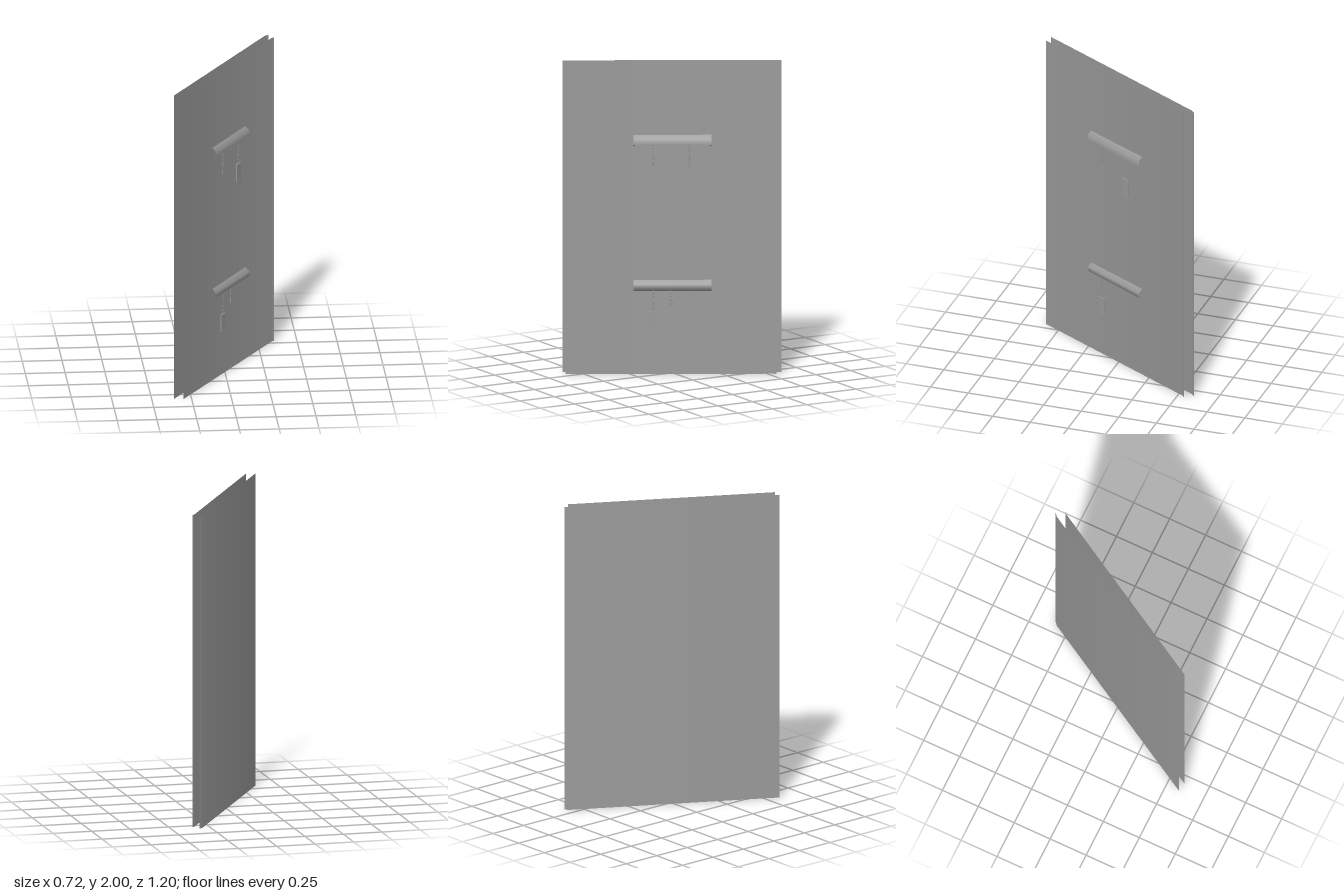
import * as THREE from 'three';

const mat = new THREE.MeshStandardMaterial({ color: 0x9b9b9b, side: THREE.DoubleSide });

function add(parent, name, geo, x = 0, y = 0, z = 0) {
  const m = new THREE.Mesh(geo, mat);
  m.name = name;
  m.position.set(x, y, z);
  parent.add(m);
  return m;
}

// Thin sheet following a path of [x, z] points, swept up along y,
// with normals shared evenly between neighbouring segments
function sheet(path, height) {
  const pos = [], nor = [], idx = [];
  const dirs = path.slice(1).map(([x, z], i) => new THREE.Vector2(x - path[i][0], z - path[i][1]).normalize());
  path.forEach(([x, z], i) => {
    const d = new THREE.Vector2();
    if (i > 0) d.add(dirs[i - 1]);
    if (i < dirs.length) d.add(dirs[i]);
    d.normalize();
    pos.push(x, 0, z, x, height, z);
    nor.push(-d.y, 0, d.x, -d.y, 0, d.x);
    if (i) {
      const a = 2 * i - 2;
      idx.push(a, a + 2, a + 3, a, a + 3, a + 1);
    }
  });
  const g = new THREE.BufferGeometry();
  g.setAttribute('position', new THREE.Float32BufferAttribute(pos, 3));
  g.setAttribute('normal', new THREE.Float32BufferAttribute(nor, 3));
  g.setIndex(idx);
  return g;
}

// Open moulding with a profile of [height, depth] points, running along x
const moulding = (profile, length) => sheet(profile, length).translate(0, -length / 2, 0).rotateZ(Math.PI / 2);

const WALL = 0.03, HANG = 0.05, LENGTH = 0.488;

// Short chain of alternating links, with a ring near its end
function chain(parent, x, top, bottom, ringY) {
  const g = new THREE.Group();
  g.name = 'hangingChain';
  const n = Math.max(2, Math.round((top - bottom) / 0.012)), step = (top - bottom) / n;
  const link = new THREE.TorusGeometry(0.003, 0.001, 4, 8).scale(1, step / 0.008 * 1.15, 1);
  for (let i = 0; i < n; i++) {
    const m = add(g, 'chainLink', link, x, top - (i + 0.5) * step, HANG);
    m.rotation.y = i % 2 ? Math.PI / 2 : 0;
  }
  if (ringY) add(g, 'ring', new THREE.TorusGeometry(0.009, 0.002, 5, 10), x, ringY, HANG);
  parent.add(g);
}

// Framed plate with a small hanger on top
function plate(parent, x, top) {
  const g = new THREE.Group();
  g.name = 'hangingPlate';
  const w = 0.058, h = 0.11, y = top - h / 2, b = 0.006;
  add(g, 'plateBoard', new THREE.BoxGeometry(w, h, 0.005), x, y, HANG);
  for (const s of [-1, 1]) {
    add(g, 'plateSide', new THREE.BoxGeometry(b, h, 0.008), x + s * (w - b) / 2, y, HANG);
    add(g, 'plateEdge', new THREE.BoxGeometry(w, b, 0.008), x, y + s * (h - b) / 2, HANG);
    const arm = add(g, 'plateHanger', new THREE.CylinderGeometry(0.0015, 0.0015, 0.02, 5), x + s * 0.006, top + 0.006, HANG);
    arm.rotation.z = s * 0.65;
  }
  parent.add(g);
}

// Open two-pronged hook
function fork(parent, x, y) {
  for (const s of [-1, 1]) {
    const prong = new THREE.QuadraticBezierCurve3(
      new THREE.Vector3(0, 0.015, 0), new THREE.Vector3(s * 0.003, 0.008, 0), new THREE.Vector3(s * 0.013, 0, 0));
    add(parent, 'hookProng', new THREE.TubeGeometry(prong, 6, 0.002, 5), x, y, HANG);
  }
}

export function createModel() {
  const root = new THREE.Group();
  root.name = 'wallWithHangingRails';
  const wall = new THREE.Group();
  wall.name = 'wall';
  wall.rotation.y = Math.PI / 3;
  root.add(wall);

  // Two thin wall sheets, each with a slightly bent lip
  add(wall, 'frontSheet', sheet([[-0.671, 0.0375], [0.633, 0.029], [0.6505, 0.036]], 2));
  add(wall, 'rearSheet', sheet([[-0.689, -0.018], [0.651, -0.029], [0.682, -0.0186]], 2));

  // Upper rail, open below except for its end tabs
  const xs = [-0.121, -0.0115, 0.104];
  const upper = new THREE.Group();
  upper.name = 'upperRail';
  add(upper, 'railBody', moulding([[0.014, 0.029], [0.05, 0.029], [0.075, 0]], LENGTH), 0, 1.46, WALL);
  for (const s of [-1, 1])
    add(upper, 'endTab', moulding([[0, 0], [0.018, 0.029]], 0.008), s * (LENGTH - 0.008) / 2, 1.46, WALL);
  chain(upper, xs[0], 1.475, 1.345, 1.385);
  fork(upper, xs[0], 1.33);
  chain(upper, xs[1], 1.475, 1.455);
  chain(upper, xs[2], 1.475, 1.343, 1.385);
  plate(upper, xs[2], 1.33);
  wall.add(upper);

  // Lower rail
  const lower = new THREE.Group();
  lower.name = 'lowerRail';
  add(lower, 'railBody', moulding([[0, 0], [0.02, 0.029], [0.05, 0.029], [0.075, 0]], LENGTH), 0, 0.53, WALL);
  chain(lower, xs[0], 0.548, 0.418, 0.458);
  plate(lower, xs[0], 0.405);
  chain(lower, xs[1], 0.548, 0.432, 0.458);
  chain(lower, xs[2], 0.548, 0.525);
  wall.add(lower);

  return root;
}
